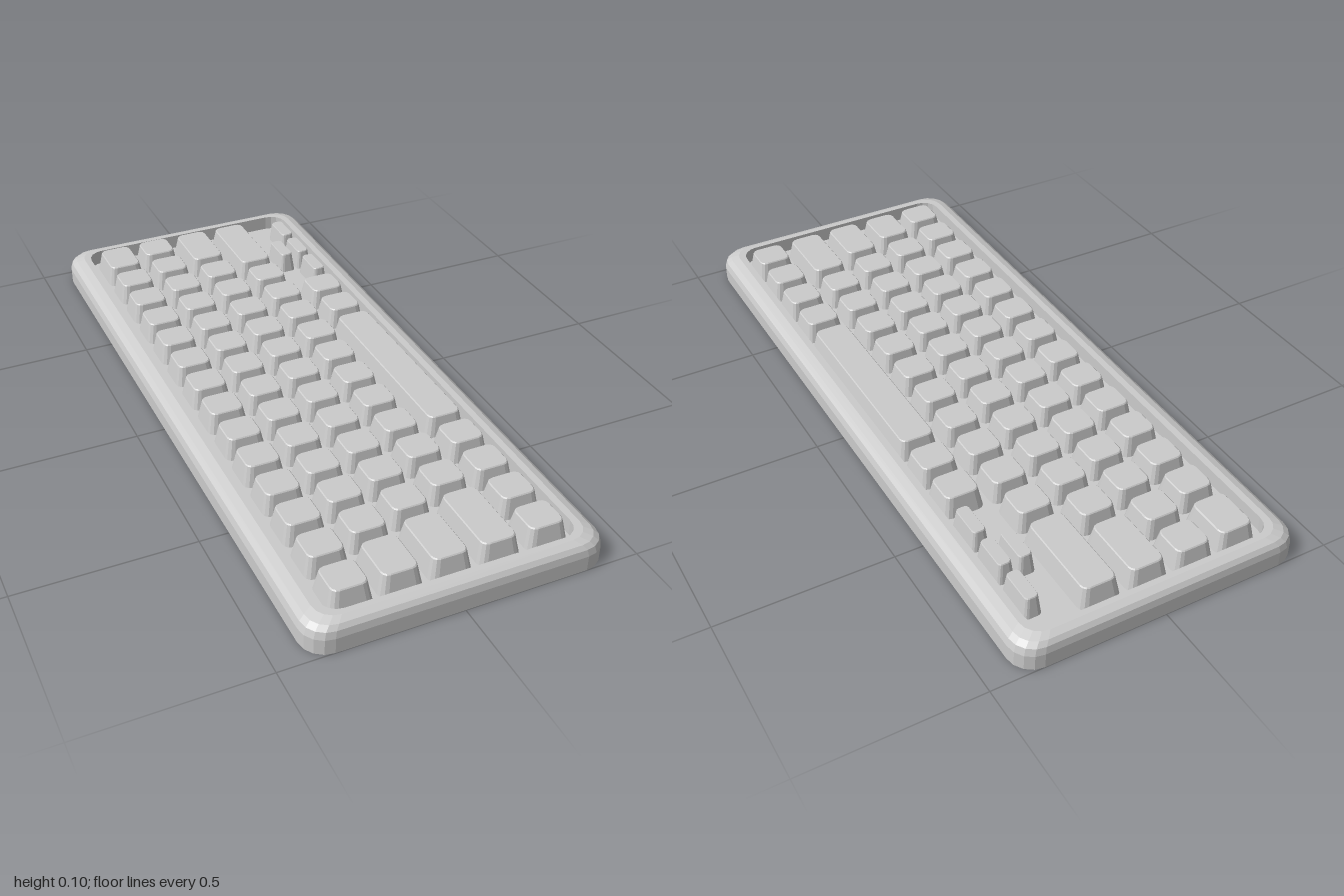
import * as THREE from 'three';

const material = new THREE.MeshStandardMaterial({ color: 0xcccccc, flatShading: true });

// Rounded rectangle in the xz plane at height y
function ring([hx, hz, y, r], seg) {
  const pts = [];
  const corners = [[1, 1], [-1, 1], [-1, -1], [1, -1]];
  corners.forEach(([sx, sz], q) => {
    for (let i = 0; i <= seg; i++) {
      const a = (q + i / seg) * Math.PI / 2;
      pts.push([sx * (hx - r) + r * Math.cos(a), y, sz * (hz - r) + r * Math.sin(a)]);
    }
  });
  return pts;
}

// Skin a stack of rounded rectangles and cap both ends
function loft(sections, seg) {
  const rings = sections.map(s => ring(s, seg));
  const n = rings[0].length;
  const pos = [];
  const tri = (...p) => p.forEach(v => pos.push(...v));
  for (let k = 0; k < rings.length - 1; k++) {
    const a = rings[k], b = rings[k + 1];
    for (let i = 0; i < n; i++) {
      const j = (i + 1) % n;
      tri(a[i], b[i], a[j]);
      tri(a[j], b[i], b[j]);
    }
  }
  const lo = rings[0], hi = rings[rings.length - 1];
  for (let i = 0; i < n; i++) {
    const j = (i + 1) % n;
    tri([0, lo[0][1], 0], lo[i], lo[j]);
    tri([0, hi[0][1], 0], hi[j], hi[i]);
  }
  const g = new THREE.BufferGeometry();
  g.setAttribute('position', new THREE.Float32BufferAttribute(pos, 3));
  g.computeVertexNormals();
  return g;
}

const FLOOR = 0.04, TOP = 0.102;

// Tapered key with rounded corners
function makeKey(name, x, z, w, d) {
  const inset = Math.min(0.013, w * 0.16), r = Math.min(0.022, w * 0.25);
  const mesh = new THREE.Mesh(loft([
    [w / 2, d / 2, FLOOR - 0.002, r],
    [w / 2 - inset * 0.9, d / 2 - inset * 0.9, TOP - 0.003, r * 0.85],
    [w / 2 - inset * 1.1, d / 2 - inset * 1.1, TOP, r * 0.8],
  ], 3), material);
  mesh.name = name;
  mesh.position.set(x, 0, z);
  return mesh;
}

export function createModel() {
  const model = new THREE.Group();
  model.name = 'keyboard';

  // Case: bevelled outer wall, flat rim, recessed key well
  const shell = new THREE.Mesh(loft([
    [0.417, 1.0, 0, 0.068],
    [0.417, 1.0, 0.045, 0.068],
    [0.411, 0.996, 0.065, 0.066],
    [0.397, 0.987, 0.077, 0.062],
    [0.374, 0.968, 0.085, 0.055],
    [0.354, 0.952, 0.085, 0.05],
    [0.354, 0.952, FLOOR, 0.05],
  ], 4), material);
  shell.name = 'case';
  model.add(shell);

  // Key rows: lengths in key units, listed from +z to -z
  const ones = n => Array(n).fill(1);
  const rows = [
    { name: 'numberRow', x: -0.267, keys: [...ones(13), 1.28] },
    { name: 'upperRow', x: -0.132, keys: [1.3, ...ones(13)] },
    { name: 'homeRow', x: 0.005, keys: [1.57, ...ones(11), 1.7] },
    { name: 'lowerRow', x: 0.143, keys: [1.93, ...ones(10), 2.31] },
    { name: 'bottomRow', x: 0.282, keys: [1, 1, 1, 1, 4.86, 1, 1] },
  ];
  const unit = 0.1307, gap = 0.012;
  for (const row of rows) {
    const group = new THREE.Group();
    group.name = row.name;
    let z = 0.929;
    for (const k of row.keys) {
      const len = k * unit;
      group.add(makeKey(k > 4 ? 'spaceBar' : 'key', row.x, z - len / 2, 0.122, len - gap));
      z -= len;
    }
    model.add(group);
  }

  // Narrow arrow keys
  const arrows = new THREE.Group();
  arrows.name = 'arrowKeys';
  for (const [x, z] of [[0.312, -0.824], [0.312, -0.694], [0.312, -0.564], [0.253, -0.694]]) {
    arrows.add(makeKey('arrowKey', x, z, 0.053, 0.118));
  }
  model.add(arrows);

  return model;
}
